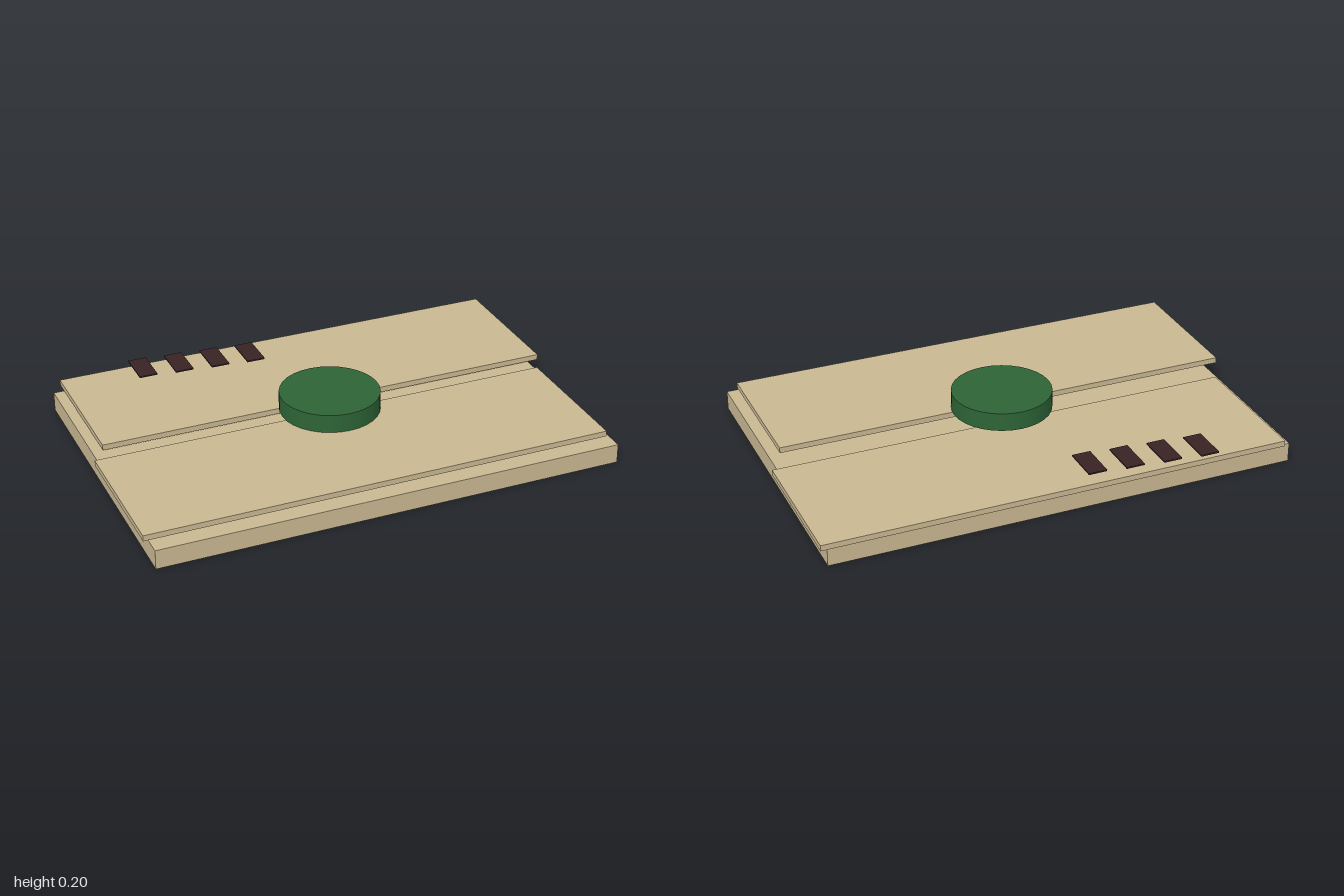
import * as THREE from 'three';

export function createModel() {
  const model = new THREE.Group();
  model.name = 'sealedFolder';
  const material = (name, color) => {
    const m = new THREE.MeshStandardMaterial({ color });
    m.name = name;
    return m;
  };
  const tan = material('tan paper', 0xc8b791);
  const green = material('green wax', 0x2d6436);
  const dark = material('dark brown', 0x382324);
  const TURN = 0.1; // everything lies slightly askew

  // Box resting at height y0, turned with the folder
  function slab(name, w, y0, y1, d, x, z, mat) {
    const mesh = new THREE.Mesh(new THREE.BoxGeometry(w, y1 - y0, d), mat);
    mesh.name = name;
    mesh.position.set(x, (y0 + y1) / 2, z);
    mesh.rotation.y = TURN;
    model.add(mesh);
  }

  // Thick body with two overlapping flaps above it
  slab('base', 1.884, 0, 0.078, 1.255, 0, 0.016, tan);
  slab('backFlap', 1.88, 0.09, 0.113, 0.565, -0.002, -0.362, tan);
  slab('frontFlap', 1.88, 0.105, 0.128, 0.565, -0.002, 0.328, tan);

  // Round seal across the overlap
  const seal = new THREE.Mesh(new THREE.CylinderGeometry(0.2, 0.2, 0.075, 32), green);
  seal.name = 'seal';
  seal.position.set(0, 0.1655, 0.016);
  seal.rotation.y = TURN;
  model.add(seal);

  // Row of small marks over the back flap
  for (let i = 0; i < 4; i++) {
    slab('mark' + (i + 1), 0.075, 0.131, 0.137, 0.15, -0.63 + i * 0.15, -0.514, dark);
  }
  return model;
}
